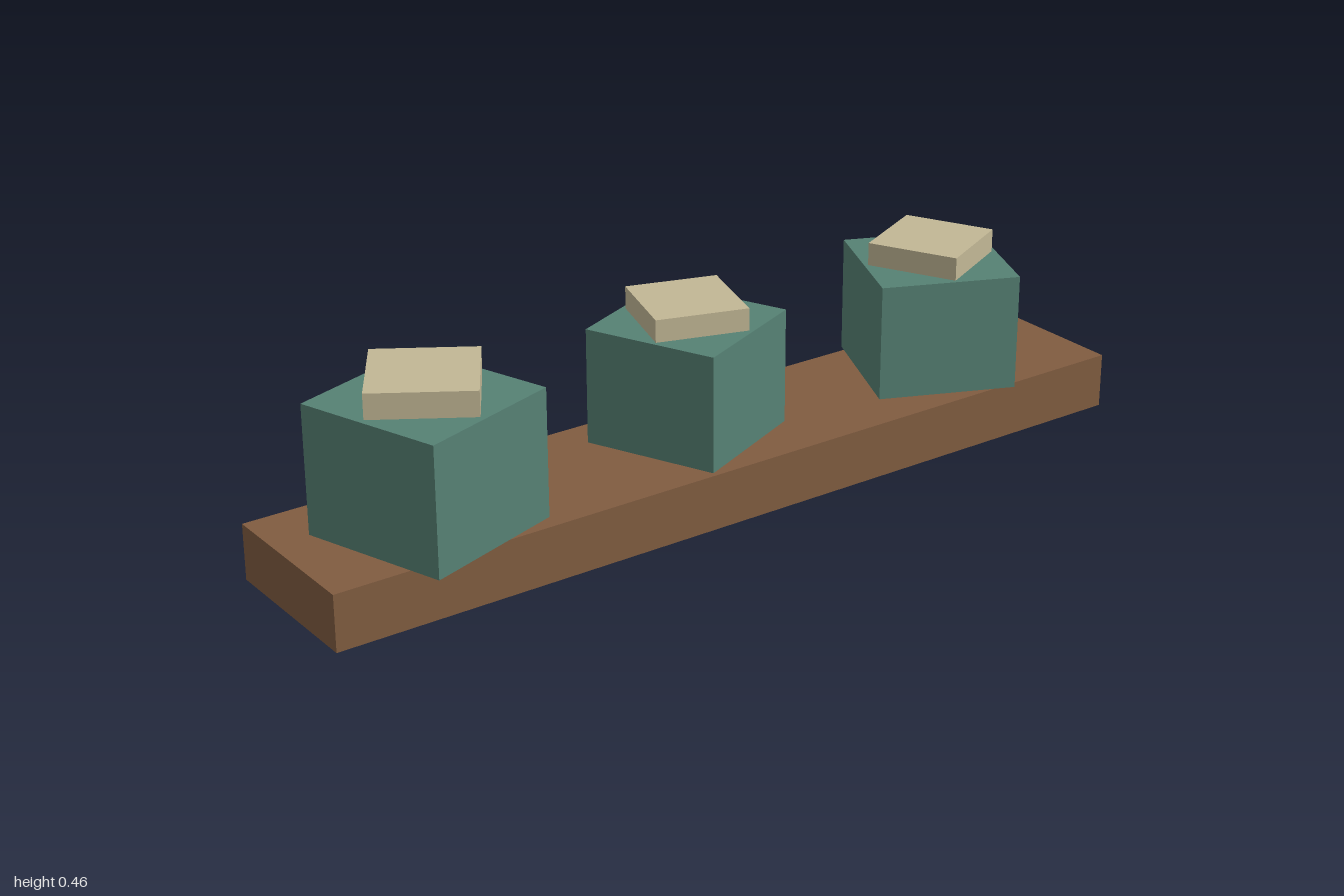
import * as THREE from 'three';

const material = (name, color) => {
  const m = new THREE.MeshStandardMaterial({ color, side: THREE.DoubleSide });
  m.name = name;
  return m;
};

// Box with no underside, standing on y = 0
function openBox(w, h, d) {
  const g = new THREE.BoxGeometry(w, h, d);
  const index = Array.from(g.index.array);
  index.splice(18, 6); // drop the bottom face
  g.setIndex(index);
  g.clearGroups();
  return g.translate(0, h / 2, 0);
}

export function createModel() {
  const model = new THREE.Group();
  model.name = 'plankWithBlocks';
  const brown = material('brown wood', 0x805c40);
  const green = material('muted green', 0x568174);
  const cream = material('cream', 0xc2b795);

  const add = (parent, name, geometry, mat, y, degrees = 0) => {
    const mesh = new THREE.Mesh(geometry, mat);
    mesh.name = name;
    mesh.position.y = y;
    mesh.rotation.y = THREE.MathUtils.degToRad(degrees);
    parent.add(mesh);
    return mesh;
  };

  // Long plank, hollow underneath
  const plankTop = 0.125;
  const plank = add(model, 'plank', openBox(2, plankTop, 0.375), brown, 0);
  plank.position.z = -0.011;

  // Turned blocks, each with a narrower core rising through its top
  const blocks = [
    { name: 'rightBlock', x: -0.701, z: 0.03, size: 0.338, turn: 18.6, top: 0.408, core: 0.223, coreTurn: -32.4, coreTop: 0.463 },
    { name: 'middleBlock', x: -0.021, z: -0.039, size: 0.309, turn: 23.8, top: 0.385, core: 0.206, coreTurn: -16.8, coreTop: 0.435 },
    { name: 'leftBlock', x: 0.63, z: -0.011, size: 0.314, turn: -23.3, top: 0.388, core: 0.21, coreTurn: 26.3, coreTop: 0.44 },
  ];
  for (const b of blocks) {
    const group = new THREE.Group();
    group.name = b.name;
    group.position.set(b.x, plankTop, b.z);
    add(group, 'blockShell', openBox(b.size, b.top - plankTop, b.size), green, 0, b.turn);
    add(group, 'blockCore', openBox(b.core, b.coreTop - plankTop, b.core), cream, 0, b.coreTurn);
    model.add(group);
  }
  return model;
}
